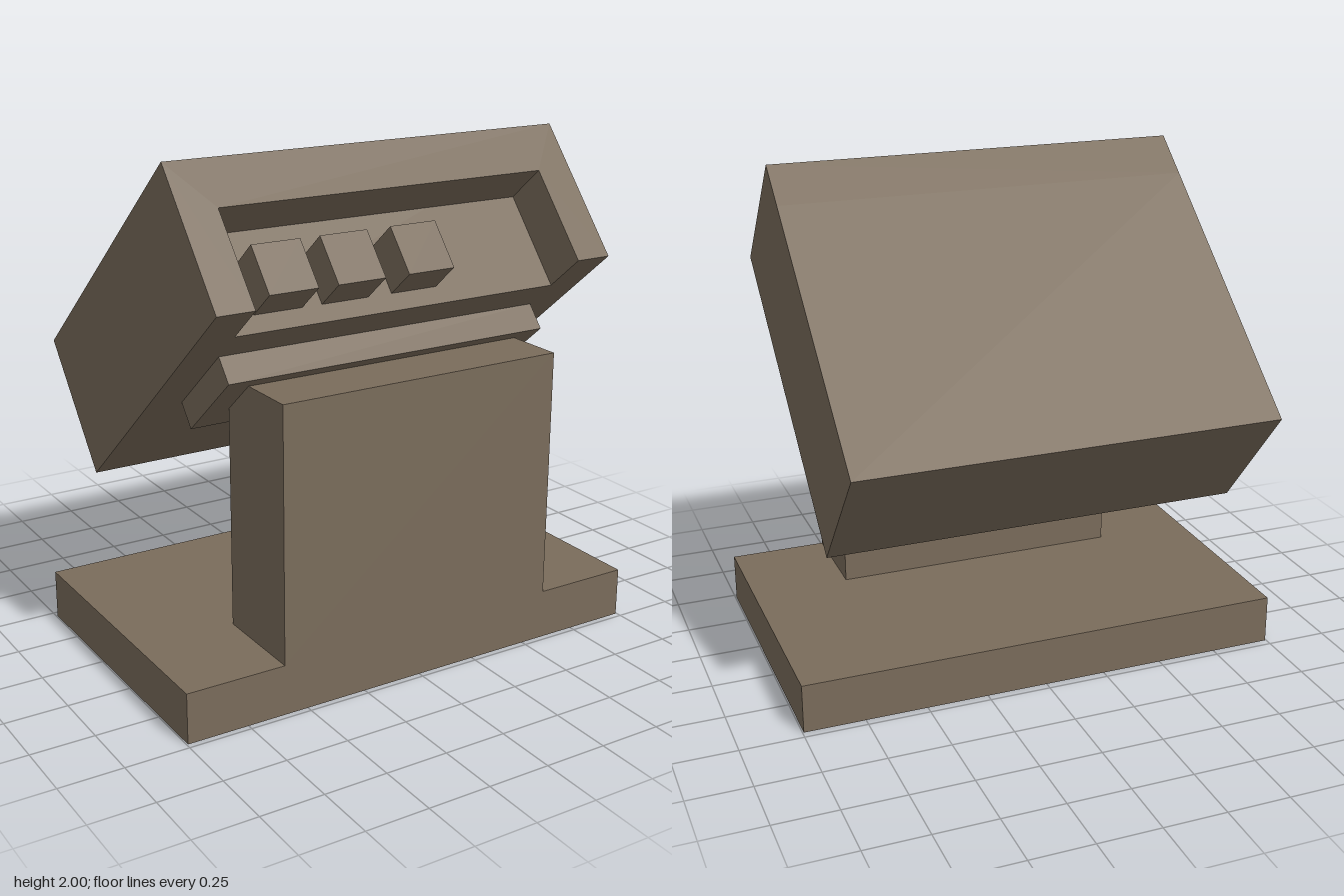
import * as THREE from 'three';

export function createModel() {
  const model = new THREE.Group();
  model.name = 'consoleOnStand';
  const taupe = new THREE.MeshStandardMaterial({ color: 0x7a6c5b });
  taupe.name = 'taupe';

  // Box given by its extents on each axis
  const block = (parent, name, [x0, x1], [y0, y1], [z0, z1]) => {
    const mesh = new THREE.Mesh(new THREE.BoxGeometry(x1 - x0, y1 - y0, z1 - z0), taupe);
    mesh.position.set((x0 + x1) / 2, (y0 + y1) / 2, (z0 + z1) / 2);
    mesh.name = name;
    parent.add(mesh);
  };

  // Stand
  block(model, 'base', [-0.995, 0.995], [0, 0.199], [-0.467, 0.727]);
  block(model, 'column', [-0.597, 0.597], [0.199, 1.196], [0.331, 0.727]);

  // Tilted head: origin on its top front edge, +z out of its face
  const head = new THREE.Group();
  head.name = 'head';
  head.position.set(0, 2, 0.3415);
  head.rotation.x = THREE.MathUtils.degToRad(-40);
  model.add(head);

  const w = 0.846, h = 0.597, d = 1.393, recess = 0.199, inner = 0.697;
  block(head, 'headBody', [-w, w], [-h, 0], [-d, -recess]);

  // Rim round the recess, open along its lower side
  const rim = new THREE.Shape([
    [-w, -h], [-inner, -h], [-inner, -0.199], [inner, -0.199],
    [inner, -h], [w, -h], [w, 0], [-w, 0],
  ].map(([x, y]) => new THREE.Vector2(x, y)));
  const rimMesh = new THREE.Mesh(
    new THREE.ExtrudeGeometry(rim, { depth: recess, bevelEnabled: false }), taupe);
  rimMesh.position.z = -recess;
  rimMesh.name = 'recessRim';
  head.add(rimMesh);

  // Three buttons standing on the recess floor
  [-0.498, -0.219, 0.08].forEach((x, i) =>
    block(head, `button${i + 1}`, [x - 0.099, x + 0.099], [-0.527, -0.328], [-recess, -0.05]));

  // Mounting plate under the head
  block(head, 'mountPlate', [-inner, inner], [-h - 0.11, -h], [-0.756, -0.358]);

  return model;
}
